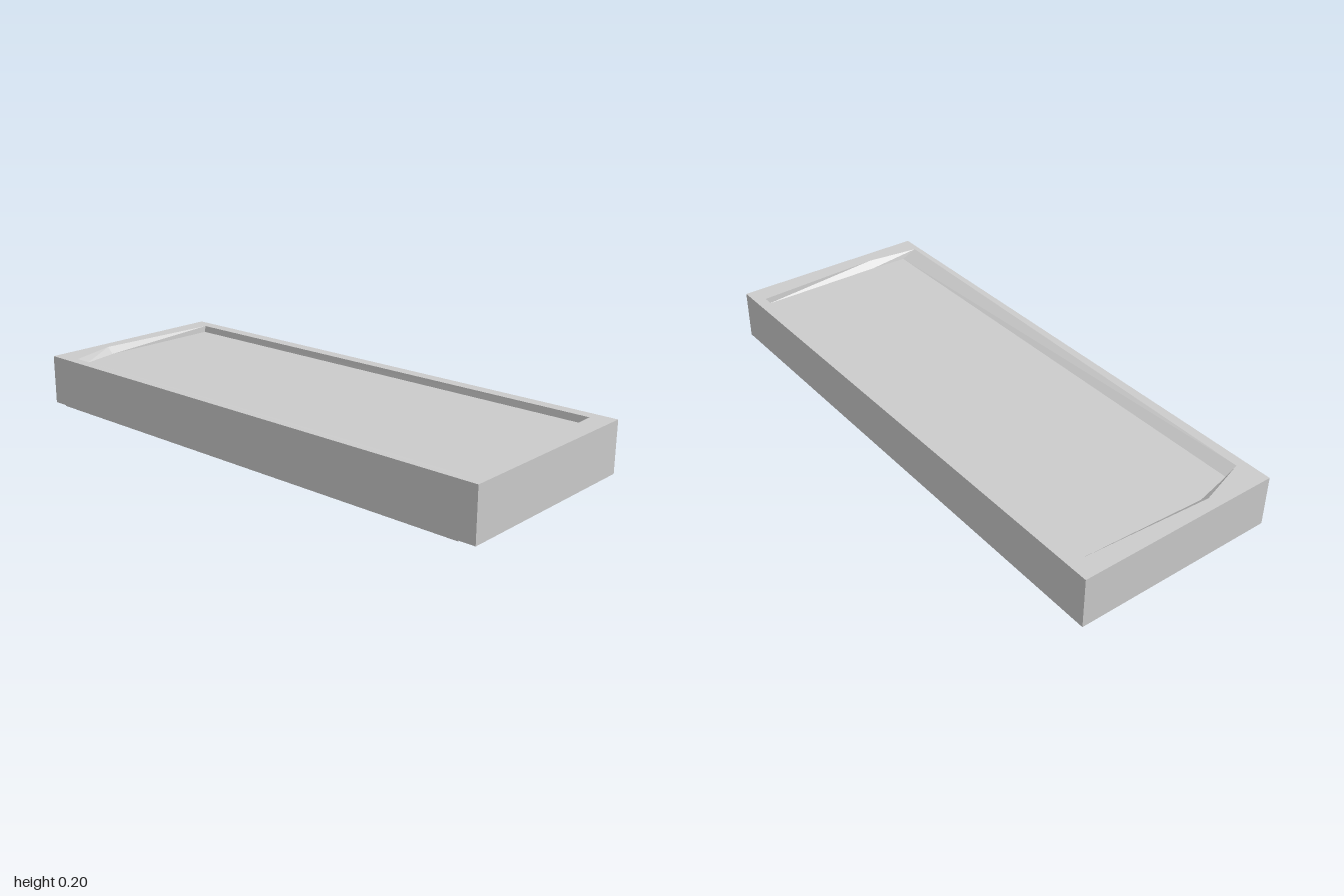
import * as THREE from 'three';

// Skins a stack of equal-length rings (bottom to top, then inward) and caps both ends.
function skin(rings) {
  const pos = [];
  const tri = (a, b, c) => pos.push(...a, ...b, ...c);
  const n = rings[0].length;
  for (let r = 0; r < rings.length - 1; r++) {
    const a = rings[r], b = rings[r + 1];
    for (let i = 0; i < n; i++) {
      const j = (i + 1) % n;
      tri(a[i], a[j], b[j]);
      tri(a[i], b[j], b[i]);
    }
  }
  const first = rings[0], last = rings[rings.length - 1];
  for (let i = 1; i < n - 1; i++) {
    tri(first[0], first[i + 1], first[i]);
    tri(last[0], last[i], last[i + 1]);
  }
  const g = new THREE.BufferGeometry();
  g.setAttribute('position', new THREE.Float32BufferAttribute(pos, 3));
  g.computeVertexNormals();
  return g;
}

export function createModel() {
  const group = new THREE.Group();
  group.name = 'tray';
  const material = new THREE.MeshStandardMaterial({ color: 0xcccccc, flatShading: true });

  // The slab tilts up slightly towards the back.
  const lift = (z) => (0.382 - z) * 0.0095;
  const ring = (outline, y) => outline.map(([x, z]) => [x, y + lift(z), z]);

  const outer = [[-1, 0.382], [1, 0.382], [1, 0.155], [1, -0.382], [-1, -0.382], [-1, 0.155]];
  // Irregular rim opening and the smaller floor below it
  const rim = [[-0.895, 0.345], [0.92, 0.362], [0.945, 0.155], [0.92, -0.34], [-0.925, -0.337], [-0.955, 0.155]];
  const floor = [[-0.895, 0.3], [0.915, 0.3], [0.92, 0.155], [0.918, -0.333], [-0.923, -0.331], [-0.928, 0.155]];

  const body = new THREE.Mesh(skin([
    ring(outer, 0.003), ring(outer, 0.189), ring(rim, 0.189), ring(floor, 0.165),
  ]), material);
  body.name = 'trayBody';
  group.add(body);

  // Thin raised strip under the front edge
  const strip = [[-0.94, 0.382], [0.94, 0.382], [0.94, 0.245], [-0.94, 0.245]];
  const foot = new THREE.Mesh(skin([
    strip.map(([x, z]) => [x, 0, z]), ring(strip, 0.004),
  ]), material);
  foot.name = 'frontFootStrip';
  group.add(foot);

  return group;
}
